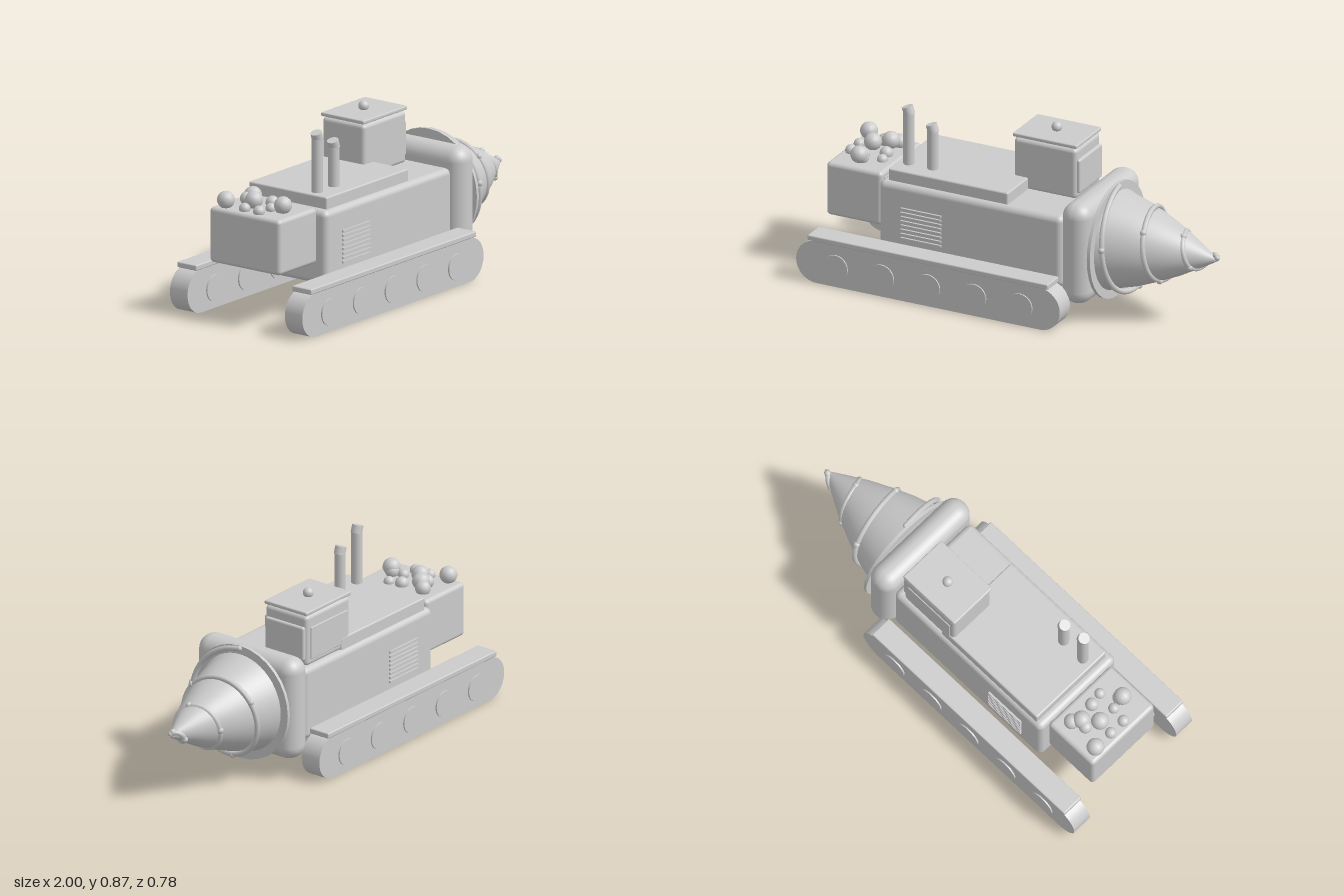
import * as THREE from 'three';
import { RoundedBoxGeometry } from 'three/addons/geometries/RoundedBoxGeometry.js';

const material = new THREE.MeshStandardMaterial({ color: 0xcccccc });
const AXIS_Y = 0.347; // height of the drill axis

export function createModel() {
  const model = new THREE.Group();
  model.name = 'drillingMachine';

  const add = (name, geometry, x = 0, y = 0, z = 0, parent = model) => {
    const mesh = new THREE.Mesh(geometry, material);
    mesh.name = name;
    mesh.position.set(x, y, z);
    parent.add(mesh);
    return mesh;
  };
  // Box given by its limits on each axis, optionally rounded
  const block = (name, [x0, x1], [y0, y1], [z0, z1], radius = 0, parent = model) => {
    const size = [x1 - x0, y1 - y0, z1 - z0];
    const geometry = radius ? new RoundedBoxGeometry(...size, 4, radius) : new THREE.BoxGeometry(...size);
    return add(name, geometry, (x0 + x1) / 2, (y0 + y1) / 2, (z0 + z1) / 2, parent);
  };

  // Hull, engine deck, rear bunker and front collar
  block('hull', [-0.645, 0.31], [0.16, 0.515], [-0.25, 0.25], 0.03);
  block('engineDeck', [-0.605, 0.015], [0.5, 0.572], [-0.232, 0.222], 0.008);
  block('rearBunker', [-0.94, -0.65], [0.265, 0.53], [-0.205, 0.205], 0.02);
  block('bunkerMount', [-0.67, -0.63], [0.3, 0.5], [-0.18, 0.18]);
  block('drillCollar', [0.31, 0.455], [0.1, 0.6], [-0.29, 0.29], 0.068);

  // Cooling slats on both flanks
  for (const side of [1, -1]) {
    for (let i = 0; i < 8; i++) {
      add('coolingSlat', new THREE.BoxGeometry(0.21, 0.01, 0.02), -0.42, 0.25 + i * 0.0212, side * 0.25);
    }
  }

  // Offset cab with window panels, roof and beacon
  const cab = new THREE.Group();
  cab.name = 'cab';
  model.add(cab);
  block('cabBody', [-0.06, 0.265], [0.51, 0.76], [-0.226, 0.02], 0.02, cab);
  block('cabRoof', [-0.065, 0.268], [0.764, 0.783], [-0.228, 0.021], 0.006, cab);
  block('roofSeat', [-0.04, 0.245], [0.75, 0.77], [-0.205, 0], 0, cab);
  block('frontWindow', [0.255, 0.279], [0.54, 0.707], [-0.217, 0.009], 0.01, cab);
  block('sideWindow', [-0.035, 0.235], [0.54, 0.7], [-0.231, -0.215], 0.004, cab);
  add('beacon', new THREE.SphereGeometry(0.025, 16, 12), 0.1, 0.798, -0.105, cab);

  // Exhaust stacks with tilted caps
  for (const [x, top] of [[-0.55, 0.835], [-0.425, 0.77]]) {
    const height = top - 0.55;
    add('exhaustStack', new THREE.CylinderGeometry(0.026, 0.026, height, 16), x, 0.55 + height / 2, 0.125);
    const cap = add('exhaustCap', new THREE.CylinderGeometry(0.027, 0.027, 0.038, 16), x - 0.002, top + 0.004, 0.125);
    cap.rotation.z = 0.32;
  }

  // Rubble piled on the bunker: x, y, z, radius
  const rubble = [
    [-0.895, 0.565, -0.14, 0.042], [-0.89, 0.54, -0.035, 0.027], [-0.89, 0.54, 0.048, 0.028],
    [-0.725, 0.55, -0.125, 0.037], [-0.755, 0.565, -0.09, 0.042], [-0.79, 0.555, -0.1, 0.032],
    [-0.82, 0.565, -0.035, 0.042], [-0.73, 0.54, 0.003, 0.032], [-0.815, 0.54, 0.06, 0.026],
    [-0.717, 0.535, 0.068, 0.026], [-0.808, 0.565, 0.125, 0.042], [-0.8, 0.55, 0.115, 0.035],
  ];
  for (const [x, y, z, r] of rubble) {
    add('rubble', new THREE.IcosahedronGeometry(r, 2), x, y, z);
  }

  // Tracks with rounded ends, road wheels and fenders
  const outline = new THREE.Shape();
  outline.absarc(0.265, 0.105, 0.105, -Math.PI / 2, Math.PI / 2);
  outline.absarc(-0.895, 0.105, 0.105, Math.PI / 2, Math.PI * 1.5);
  const trackGeometry = new THREE.ExtrudeGeometry(outline, { depth: 0.102, bevelEnabled: false, curveSegments: 24 });
  trackGeometry.translate(0, 0, -0.051);
  for (const side of [1, -1]) {
    const track = new THREE.Group();
    track.name = side > 0 ? 'frontTrack' : 'backTrack';
    track.position.z = side * 0.334;
    model.add(track);
    add('trackBelt', trackGeometry, 0, 0, 0, track);
    block('fender', [-0.94, 0.31], [0.208, 0.235], [-0.056, 0.056], 0.006, track);
    for (let i = 0; i < 5; i++) {
      const wheel = add('roadWheel', new THREE.CylinderGeometry(0.064, 0.064, 0.116, 24), -0.795 + i * 0.24, 0.097, 0, track);
      wheel.rotation.x = Math.PI / 2;
    }
  }

  // Drill backing plate and convex drill cone, both along +x
  const drill = new THREE.Group();
  drill.name = 'drill';
  drill.position.y = AXIS_Y;
  model.add(drill);
  const plate = add('backingPlate', new THREE.CylinderGeometry(0.28, 0.28, 0.016, 32), 0.464, 0, 0, drill);
  plate.rotation.z = -Math.PI / 2;
  const profile = [
    [0, 0.455], [0.24, 0.455], [0.238, 0.472], [0.226, 0.5], [0.198, 0.6],
    [0.158, 0.7], [0.108, 0.81], [0.053, 0.91], [0.018, 0.97], [0, 1],
  ].map(([r, h]) => new THREE.Vector2(r, h));
  const cone = add('drillCone', new THREE.LatheGeometry(profile, 48), 0, 0, 0, drill);
  cone.rotation.z = -Math.PI / 2;

  // Spiral flight winding three turns toward the tip
  const spiralPoint = (turn, lift = 0) => {
    const angle = turn * Math.PI * 2;
    const r = 0.258 * (1 - turn / 3) + 0.01 + lift;
    return new THREE.Vector3(0.478 + turn * 0.17, r * Math.cos(angle), r * Math.sin(angle));
  };
  const points = [];
  for (let i = 0; i <= 72; i++) points.push(spiralPoint(i / 24));
  add('spiralFlight', new THREE.TubeGeometry(new THREE.CatmullRomCurve3(points), 144, 0.013, 8), 0, 0, 0, drill);
  for (const turn of [0, 3]) {
    const end = spiralPoint(turn);
    add('flightEnd', new THREE.SphereGeometry(0.013, 8, 6), end.x, end.y, end.z, drill);
  }

  // Cutting bits spaced along the flight
  for (let i = 0; i < 10; i++) {
    const p = spiralPoint(0.22 + i * 0.303, 0.004);
    add('cuttingBit', new THREE.IcosahedronGeometry(0.016, 1), p.x, p.y, p.z, drill);
  }

  return model;
}
